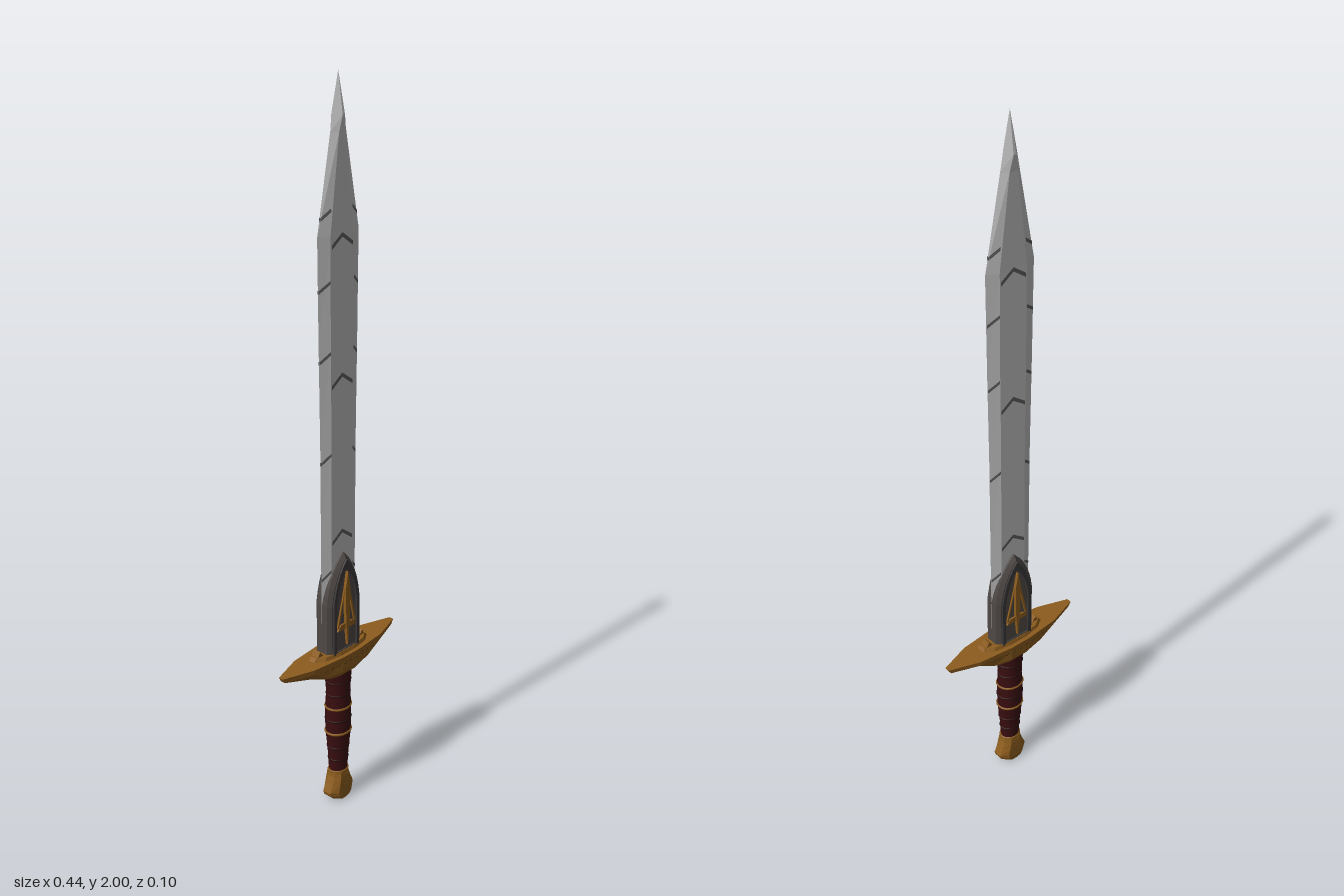
import * as THREE from 'three';

const mat = (name, color, opts = {}) => {
  const m = new THREE.MeshStandardMaterial({ color, ...opts });
  m.name = name;
  return m;
};

// Faceted skin through rings of [x, y, z]; rings run counter-clockwise seen from above.
function loft(rings) {
  const pos = [];
  const tri = (a, b, c) => pos.push(...a, ...b, ...c);
  const n = rings[0].length;
  for (let r = 0; r < rings.length - 1; r++) {
    const lo = rings[r], hi = rings[r + 1];
    for (let i = 0; i < n; i++) {
      const j = (i + 1) % n;
      tri(lo[i], lo[j], hi[j]);
      tri(lo[i], hi[j], hi[i]);
    }
  }
  const bottom = rings[0], top = rings[rings.length - 1];
  for (let i = 1; i < n - 1; i++) {
    tri(bottom[0], bottom[i + 1], bottom[i]);
    tri(top[0], top[i], top[i + 1]);
  }
  const g = new THREE.BufferGeometry();
  g.setAttribute('position', new THREE.Float32BufferAttribute(pos, 3));
  g.computeVertexNormals();
  return g;
}

// Symmetric plan from its +x, +z quarter: list of [x, z] from the side tip to the middle.
function planRing(y, quarter) {
  const rev = [...quarter].reverse();
  return [
    ...quarter.map(([x, z]) => [x, y, -z]),
    ...rev.map(([x, z]) => [-x, y, -z]),
    ...quarter.map(([x, z]) => [-x, y, z]),
    ...rev.map(([x, z]) => [x, y, z]),
  ];
}

// Blade rows: y, half width, half width of the central flat, half thickness.
const BLADE = [
  [0.46, 0.064, 0.04, 0.013], [0.8, 0.066, 0.04, 0.013], [1.08, 0.067, 0.039, 0.013],
  [1.35, 0.071, 0.041, 0.013], [1.62, 0.074, 0.041, 0.013], [1.86, 0.028, 0.012, 0.014],
  [1.9, 0.0205, 0.004, 0.018], [2.0, 0, 0, 0],
];

function bladeAt(y) {
  let i = 0;
  while (i < BLADE.length - 2 && y > BLADE[i + 1][0]) i++;
  const a = BLADE[i], b = BLADE[i + 1];
  const f = (y - a[0]) / (b[0] - a[0]);
  return a.map((v, k) => v + (b[k] - v) * f);
}

// Thin slanted mark lying on the blade's front face.
function bladeMark(xa, ya, xb, yb, h) {
  const p = (x, y) => {
    const [, w, c, t] = bladeAt(y);
    const z = Math.abs(x) <= c ? t : t * Math.max(0, (w - Math.abs(x)) / (w - c));
    return [x, y, z + 0.001];
  };
  const [a, b, c, d] = [p(xa, ya), p(xb, yb), p(xb, yb + h), p(xa, ya + h)];
  const g = new THREE.BufferGeometry();
  g.setAttribute('position', new THREE.Float32BufferAttribute([...a, ...b, ...c, ...a, ...c, ...d], 3));
  g.computeVertexNormals();
  return g;
}

// Pointed arch outline standing on y = base.
function archShape(w, base, shoulder, tip) {
  const s = new THREE.Shape();
  s.moveTo(-w, base);
  s.lineTo(w, base);
  s.lineTo(w, shoulder);
  s.quadraticCurveTo(w * 0.82, shoulder + (tip - shoulder) * 0.62, 0, tip);
  s.quadraticCurveTo(-w * 0.82, shoulder + (tip - shoulder) * 0.62, -w, shoulder);
  return s;
}

const polyShape = (pts) => new THREE.Shape(pts.map(([x, y]) => new THREE.Vector2(x, y)));

export function createModel() {
  const model = new THREE.Group();
  const steel = mat('steel', 0xbcbcbc);
  const groove = mat('engraved grey', 0x5c5c5c, { side: THREE.DoubleSide });
  const iron = mat('dark iron', 0x4e4845);
  const rimIron = mat('rim iron', 0x3b3838);
  const gold = mat('old gold', 0x8c5c1e);
  const darkGold = mat('dark gold', 0x5e3d14);
  const leather = mat('red leather', 0x3a0e10);
  const darkLeather = mat('dark leather', 0x270a0c);

  const add = (name, geo, material, parent = model) => {
    const m = new THREE.Mesh(geo, material);
    m.name = name;
    parent.add(m);
    return m;
  };

  // Blade with six-sided section
  add('blade', loft(BLADE.map(([y, w, c, t]) =>
    [[w, y, 0], [c, y, -t], [-c, y, -t], [-w, y, 0], [-c, y, t], [c, y, t]])), steel);

  // Details repeated on front and back
  for (const [side, turn] of [['front', 0], ['back', Math.PI]]) {
    const face = new THREE.Group();
    face.name = side + 'Details';
    face.rotation.y = turn;
    model.add(face);

    for (const s of [-1, 1]) {
      // Chevrons on the flat, slanted cuts on the bevels
      for (const y of [0.8, 1.23, 1.585])
        add('chevron', bladeMark(s * 0.038, y, 0, y + 0.027, 0.011), groove, face);
      for (const y of [0.7, 1.03, 1.3, 1.48, 1.655]) {
        const [, w, c] = bladeAt(y);
        add('bevelCut', bladeMark(s * (w - 0.001), y, s * (c + 0.001), y + 0.022, 0.009), groove, face);
      }
    }

    // Raised rim and gold spire on the blade collar
    const rim = archShape(0.05, 0.48, 0.63, 0.755);
    rim.holes.push(archShape(0.04, 0.49, 0.625, 0.73));
    const rimGeo = new THREE.ExtrudeGeometry(rim, { depth: 0.006, bevelEnabled: false, curveSegments: 6 });
    add('collarRim', rimGeo.translate(0, 0, 0.026), rimIron, face);
    const ornament = [
      [[0, 0.5], [0.007, 0.57], [0.009, 0.67], [0, 0.72], [-0.009, 0.67], [-0.007, 0.57]],
      [[-0.036, 0.55], [0.036, 0.55], [0.024, 0.566], [-0.024, 0.566]],
      [[0.03, 0.56], [0.036, 0.56], [0.018, 0.64], [0.004, 0.69], [0.013, 0.635]],
      [[-0.03, 0.56], [-0.004, 0.69], [-0.036, 0.56]],
    ];
    ornament.forEach((pts, i) => {
      const g = new THREE.ExtrudeGeometry(polyShape(pts), { depth: i ? 0.006 : 0.01, bevelEnabled: false });
      add('collarOrnament', g.translate(0, 0, 0.026), gold, face);
    });

    // Studs along the guard
    for (let i = -4; i <= 4; i++) {
      const x = i * 0.023;
      const z = 0.047 - Math.max(0, Math.abs(x) - 0.03) * 0.11;
      const stud = add('guardStud', new THREE.OctahedronGeometry(0.006), darkGold, face);
      stud.position.set(x, 0.46, z);
      stud.scale.z = 0.4;
    }
  }

  // Arched collar over the blade root
  const collar = new THREE.ExtrudeGeometry(archShape(0.053, 0.47, 0.63, 0.758), {
    depth: 0.036, bevelThickness: 0.009, bevelSize: 0.011, bevelSegments: 1, curveSegments: 6,
  });
  add('bladeCollar', collar.translate(0, 0, -0.018), iron);

  // Crossguard: boat shape, flat on top and swept up to the tips
  const guardRows = [
    [0.415, 0.08, 0.06, 0.026, 0.034], [0.432, 0.118, 0.085, 0.034, 0.045],
    [0.464, 0.214, 0.13, 0.036, 0.047], [0.478, 0.222, 0.133, 0.037, 0.048],
  ];
  add('crossguard', loft(guardRows.map(([y, l, m, zm, zc]) =>
    planRing(y, [[l, 0.007], [m, zm], [0.03, zc]]))), gold);
  add('guardCollar', loft([[0.477, 1], [0.488, 0.92]].map(([y, k]) =>
    planRing(y, [[0.106 * k, 0.01 * k], [0.08 * k, 0.028 * k], [0.03 * k, 0.037 * k]]))), gold);

  // Small leaves rising beside the collar
  for (const s of [-1, 1]) {
    const leaf = polyShape([[0.064, 0.482], [0.104, 0.482], [0.092, 0.488], [0.084, 0.503], [0.076, 0.492]]
      .map(([x, y]) => [s * x, y]));
    const g = new THREE.ExtrudeGeometry(leaf, { depth: 0.024, bevelEnabled: false });
    add('guardLeaf', g.translate(0, 0, -0.012), gold);
  }

  // Grip of stacked leather swells, oval in section
  const grip = new THREE.Group();
  grip.name = 'grip';
  grip.scale.z = 0.86;
  model.add(grip);
  const gripPts = [[0.028, 0.09], [0.03, 0.13], [0.033, 0.17], [0.038, 0.215], [0.039, 0.25],
    [0.039, 0.3], [0.036, 0.34], [0.038, 0.38], [0.041, 0.42]];
  add('gripCore', new THREE.LatheGeometry(gripPts.map(([r, y]) => new THREE.Vector2(r, y)), 16), leather, grip);
  const band = (name, y, r, tube, material) => {
    const b = add(name, new THREE.TorusGeometry(r, tube, 6, 16), material, grip);
    b.rotation.x = Math.PI / 2;
    b.position.y = y;
  };
  for (const [y, r] of [[0.13, 0.029], [0.17, 0.032], [0.26, 0.038], [0.34, 0.035], [0.38, 0.037]])
    band('leatherBand', y, r, 0.003, darkLeather);
  for (const [y, r] of [[0.092, 0.028], [0.22, 0.038], [0.3, 0.038]])
    band('goldRing', y, r, 0.004, gold);

  // Fan-shaped pommel with a rounded foot
  const pommelRows = [[0, 0.012, 0.024], [0.007, 0.032, 0.027], [0.018, 0.044, 0.028], [0.03, 0.048, 0.028],
    [0.055, 0.037, 0.028], [0.075, 0.03, 0.027], [0.09, 0.028, 0.025]];
  add('pommel', loft(pommelRows.map(([y, x, z]) =>
    planRing(y, [[x, z * 0.45], [x * 0.55, z]]))), gold);

  return model;
}
